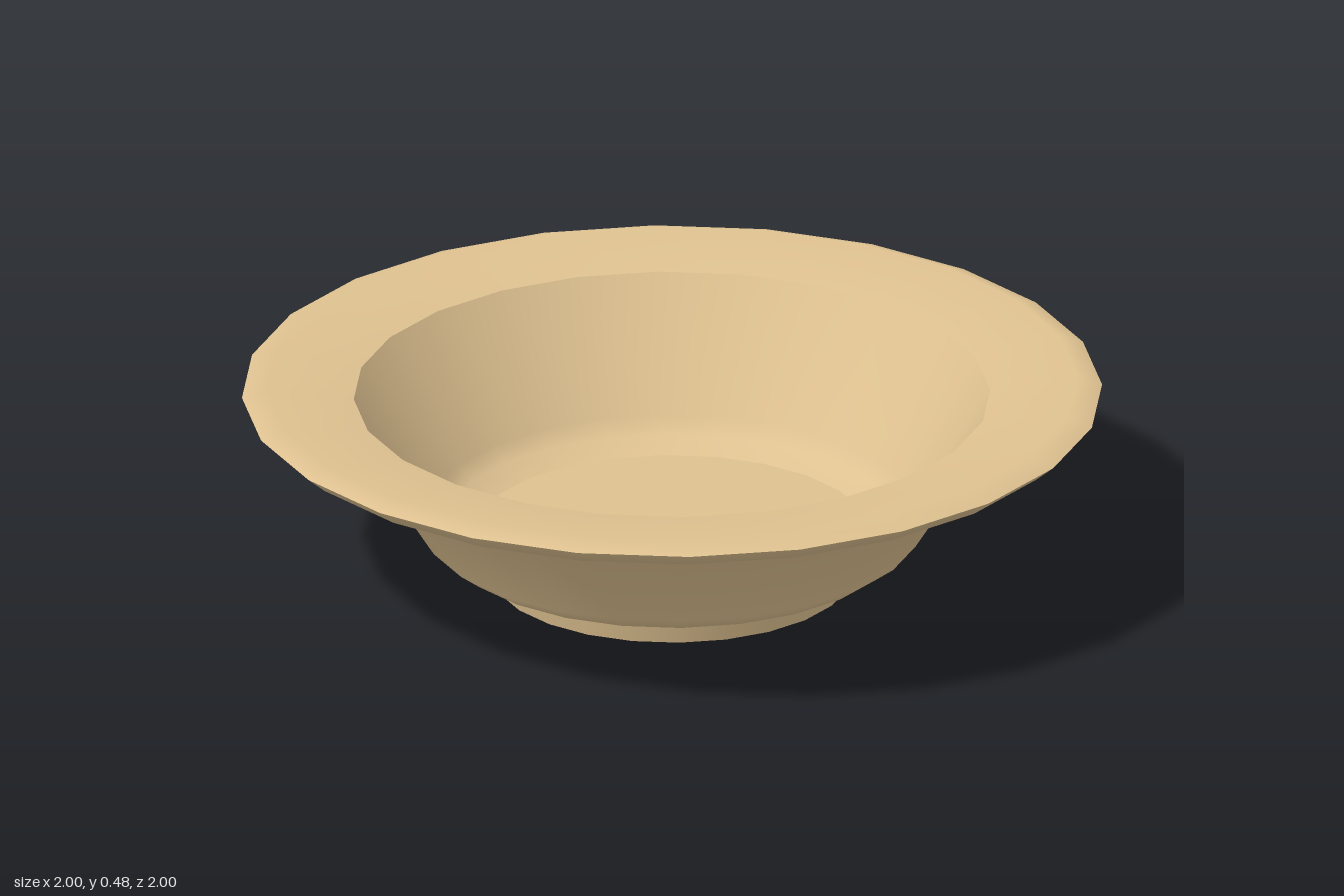
import * as THREE from 'three';

const SIDES = 24;

export function createModel() {
  const group = new THREE.Group();
  const material = new THREE.MeshStandardMaterial({ color: 0xdec190 });

  // Each run of [radius, height] points is smooth; edges between runs stay sharp.
  const turn = (name, profile) => {
    const points = profile.map(([r, y]) => new THREE.Vector2(r, y));
    const mesh = new THREE.Mesh(new THREE.LatheGeometry(points, SIDES), material);
    mesh.name = name;
    group.add(mesh);
  };

  // Foot: recessed underside, hollow inner wall, standing ring, outer wall
  turn('footRecess', [[0, 0.045], [0.36, 0.045]]);
  turn('footInnerWall', [[0.36, 0.045], [0.395, 0]]);
  turn('footRing', [[0.395, 0], [0.42, 0]]);
  turn('footOuterWall', [[0.42, 0], [0.435, 0.05]]);

  // Outside of the bowl, flaring out under the rim
  turn('bowlOutside', [
    [0.435, 0.05], [0.53, 0.083], [0.58, 0.12],
    [0.74, 0.375], [0.955, 0.42], [1, 0.458],
  ]);

  // Wide, gently dished rim
  turn('rim', [[1, 0.458], [0.945, 0.479], [0.74, 0.45]]);

  // Inside of the bowl and its flat floor
  turn('bowlInside', [[0.74, 0.45], [0.56, 0.165], [0.525, 0.13], [0.46, 0.105]]);
  turn('bowlFloor', [[0.46, 0.105], [0, 0.105]]);

  return group;
}
